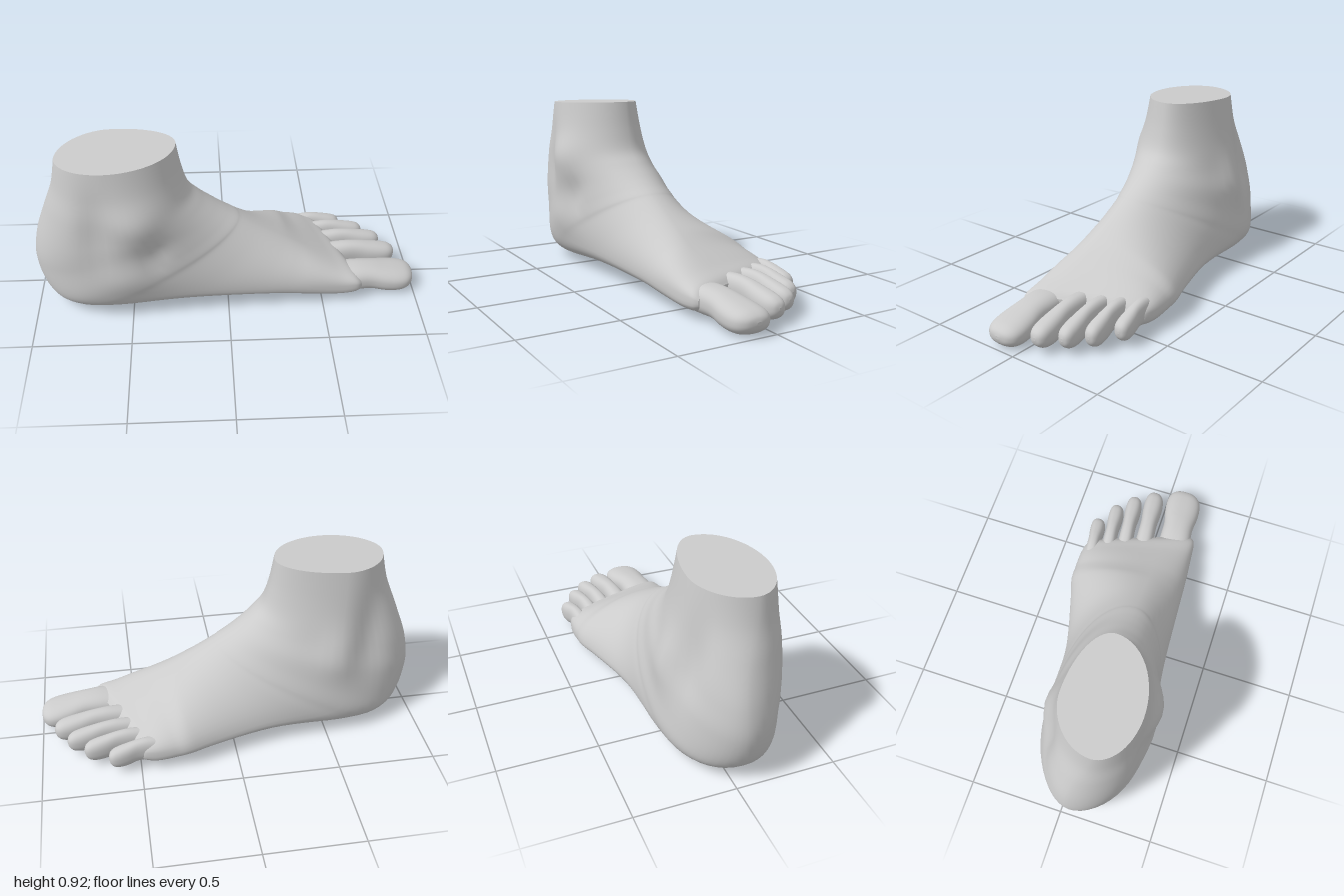
import * as THREE from 'three';

const SEG = 56;
const { smoothstep, clamp, lerp } = THREE.MathUtils;

// Catmull-Rom blend of neighbouring key rows
function sampleRows(rows, steps) {
  const out = [], n = rows.length;
  for (let i = 0; i < n - 1; i++) {
    const [p, a, b, q] = [rows[Math.max(i - 1, 0)], rows[i], rows[i + 1], rows[Math.min(i + 2, n - 1)]];
    for (let k = 0; k < steps; k++) {
      const t = k / steps;
      out.push(a.map((v, j) => v + 0.5 * t * (b[j] - p[j] +
        t * (2 * p[j] - 5 * v + 4 * b[j] - q[j] + t * (3 * (v - b[j]) + q[j] - p[j])))));
    }
  }
  out.push(rows[n - 1]);
  return out;
}

// Closed ring of four superellipse quarters between the upper and lower
// outline points and the two side extremes
function sectionRing({ ax, ay, bx, by, zL, zM, zT, zB, sL, sM, eT, eB, slant }) {
  return Array.from({ length: SEG }, (_, j) => {
    const th = (j / SEG) * Math.PI * 2, c = Math.cos(th), s = Math.sin(th);
    const e = 2 / (c > 0 ? eT : eB);
    const cc = Math.abs(c) ** e, ss = Math.abs(s) ** e;
    const wide = s > 0 ? sM : sL;
    const d = c > 0 ? wide * (1 - cc) : wide + (1 - wide) * cc;
    const z = lerp(c > 0 ? zT : zB, s > 0 ? zM : zL, ss);
    return [lerp(ax, bx, d) + slant * (z - 0.1), lerp(ay, by, d), z];
  });
}

// Skin over the rings, with a separate cap at each end
function loft(rings) {
  const pos = rings.flat(2), idx = [];
  for (let i = 0; i < rings.length - 1; i++) {
    for (let j = 0; j < SEG; j++) {
      const k = (j + 1) % SEG, a = i * SEG, b = a + SEG;
      idx.push(a + j, a + k, b + j, a + k, b + k, b + j);
    }
  }
  [rings[0], rings[rings.length - 1]].forEach((ring, end) => {
    const base = pos.length / 3;
    const mid = [0, 1, 2].map(c => ring.reduce((sum, p) => sum + p[c], 0) / SEG);
    pos.push(...ring.flat(), ...mid);
    for (let j = 0; j < SEG; j++) {
      const k = (j + 1) % SEG;
      idx.push(base + SEG, base + (end ? j : k), base + (end ? k : j));
    }
  });
  const g = new THREE.BufferGeometry();
  g.setAttribute('position', new THREE.Float32BufferAttribute(pos, 3));
  g.setIndex(idx);
  g.computeVertexNormals();
  return g;
}

// Foot keys, fanning from the cut ankle past the heel to the ball:
// upper outline x, y | lower outline x, y | outer z, inner z | depth of widest point
const footKeys = [
  [-0.25, 0.92, -0.83, 0.895, -0.09, 0.31, 0.58],
  [-0.225, 0.78, -0.86, 0.75, -0.115, 0.335, 0.56],
  [-0.19, 0.67, -0.915, 0.6, -0.14, 0.36, 0.52],
  [-0.13, 0.605, -0.98, 0.41, -0.165, 0.36, 0.5],
  [-0.06, 0.55, -1, 0.25, -0.2, 0.35, 0.52],
  [0, 0.51, -0.96, 0.1, -0.22, 0.345, 0.56],
  [0.05, 0.48, -0.87, 0.03, -0.235, 0.335, 0.6],
  [0.08, 0.46, -0.7, 0.012, -0.24, 0.32, 0.65],
  [0.18, 0.4, -0.25, 0.045, -0.26, 0.29, 0.74],
  [0.33, 0.315, 0.2, 0.045, -0.36, 0.268, 0.74],
  [0.43, 0.26, 0.39, 0.025, -0.372, 0.258, 0.68],
  [0.55, 0.2, 0.54, 0.015, -0.372, 0.245, 0.6],
  [0.63, 0.165, 0.63, 0.02, -0.36, 0.235, 0.5],
  [0.665, 0.135, 0.665, 0.045, -0.34, 0.215, 0.5],
];

// The sole flattens, the ridge moves outward and the sections slant towards the toes
function footSection([ax, ay, bx, by, zL, zM, depth]) {
  return {
    ax, ay, bx, by, zL, zM,
    zT: 0.07 - 0.09 * smoothstep(ax, 0.4, 0.63),
    zB: 0.06 + 0.08 * smoothstep(by, 0.4, 0.9) - 0.11 * smoothstep(bx, -0.7, 0.5) * smoothstep(ax, 0, 0.1),
    sL: depth,
    sM: depth - 0.06 * smoothstep(ax, 0, 0.15) * (1 - smoothstep(ax, 0.4, 0.6)),
    eT: 2 + 1.2 * smoothstep(ax, 0.35, 0.65),
    eB: 1.9 + 0.9 * smoothstep(ax, -0.06, 0.12),
    slant: 0.36 * clamp((bx - 0.13) / 0.53, 0, 1),
  };
}

// Ankle bones, tendon hollows and heel pad: x, y, side, radius x, radius y, outward push
const reliefs = [
  [-0.43, 0.62, 1, 0.12, 0.12, 0.025],
  [-0.64, 0.58, 1, 0.09, 0.2, -0.035],
  [-0.36, 0.42, 1, 0.05, 0.1, -0.02],
  [-0.48, 0.27, 1, 0.13, 0.1, 0.015],
  [-0.55, 0.48, -1, 0.1, 0.12, 0.03],
  [-0.72, 0.55, -1, 0.08, 0.2, -0.03],
];
function addRelief([x, y, z]) {
  let push = 0;
  for (const [cx, cy, side, rx, ry, amount] of reliefs) {
    const weight = clamp(((z - 0.08) * side) / 0.15, 0, 1);
    push += side * weight * amount * Math.exp(-(((x - cx) / rx) ** 2) - ((y - cy) / ry) ** 2);
  }
  return [x, y, z + push];
}

// Toe profile: fraction of length, width, top, bottom
const toeKeys = [
  [0, 0.95, 0.92, 0.15], [0.3, 0.9, 1, 0.12], [0.5, 0.86, 0.97, 0.12], [0.68, 0.98, 0.88, 0.02],
  [0.82, 1, 0.8, 0], [0.92, 0.87, 0.72, 0.06], [0.98, 0.55, 0.6, 0.2], [1, 0.12, 0.46, 0.36],
];
// Toes: base x, base z, tip x, tip z, half width, bottom y, top y
const toes = {
  bigToe: [0.52, 0.135, 1, 0.095, 0.1, 0.003, 0.16],
  secondToe: [0.5, -0.035, 0.93, -0.072, 0.055, 0.02, 0.175],
  thirdToe: [0.48, -0.14, 0.865, -0.178, 0.046, 0.025, 0.175],
  fourthToe: [0.44, -0.225, 0.78, -0.262, 0.043, 0.025, 0.175],
  littleToe: [0.37, -0.305, 0.66, -0.338, 0.042, 0.03, 0.172],
};
function toeSection([f, width, top, bottom], [baseX, baseZ, tipX, tipZ, half, y0, y1]) {
  const x = lerp(baseX, tipX, f), z = lerp(baseZ, tipZ, f);
  return {
    ax: x, ay: lerp(y0, y1, top), bx: x, by: lerp(y0, y1, bottom),
    zL: z - half * width, zM: z + half * width, zT: z, zB: z,
    sL: 0.5, sM: 0.5, eT: 2.4, eB: 2.4, slant: 0,
  };
}

export function createModel() {
  const model = new THREE.Group();
  model.name = 'foot';
  const skin = new THREE.MeshStandardMaterial({ color: 0xcccccc });
  const add = (name, rings) => {
    const mesh = new THREE.Mesh(loft(rings), skin);
    mesh.name = name;
    model.add(mesh);
  };

  add('ankleAndSole', sampleRows(footKeys, 7).map(row => sectionRing(footSection(row)).map(addRelief)));
  for (const [name, toe] of Object.entries(toes)) {
    add(name, sampleRows(toeKeys, 4).map(row => sectionRing(toeSection(row, toe))));
  }
  return model;
}
